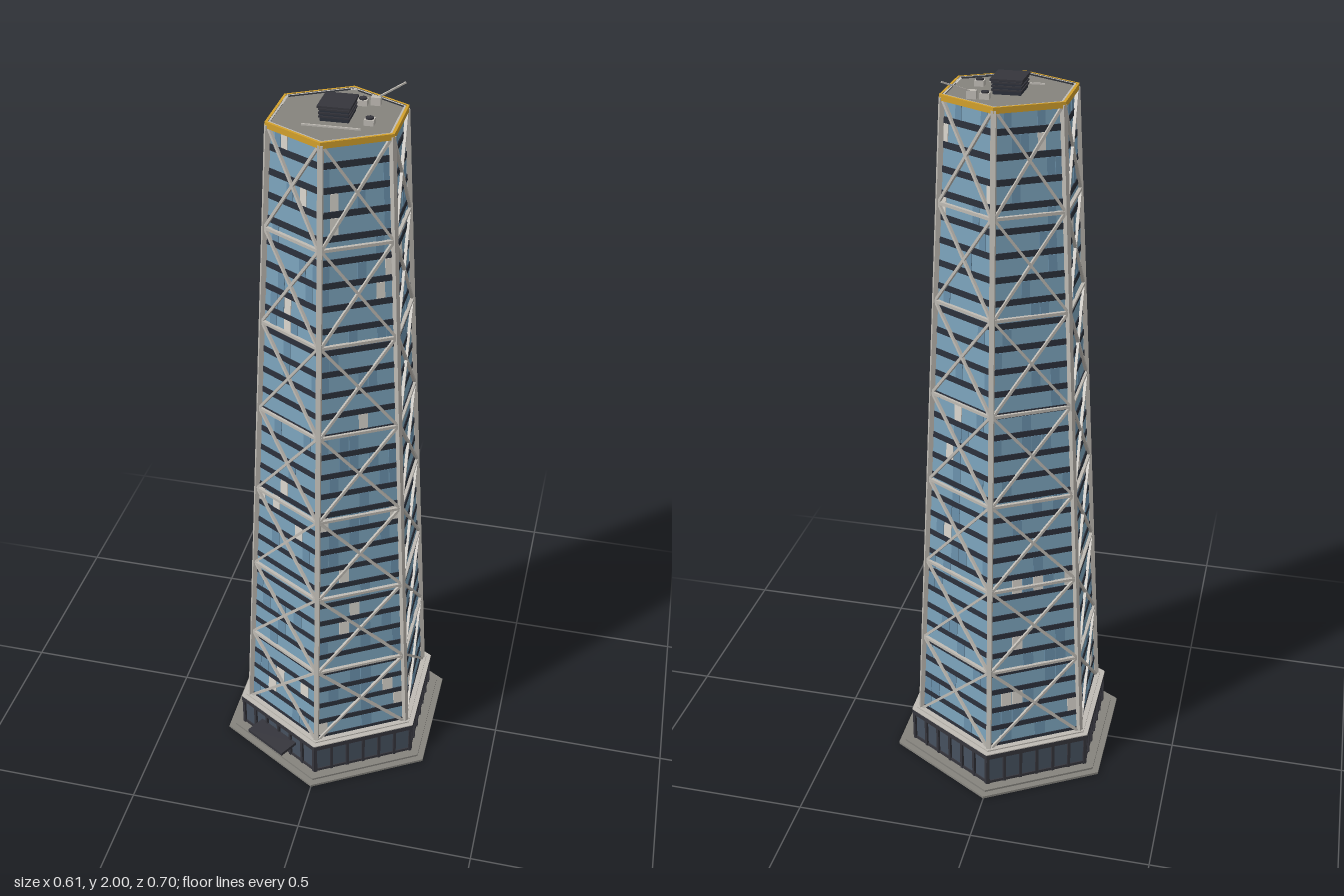
import * as THREE from 'three';
import { mergeGeometries } from 'three/addons/utils/BufferGeometryUtils.js';

const mat = (name, color) => {
  const m = new THREE.MeshStandardMaterial({ color });
  m.name = name;
  return m;
};

export function createModel() {
  const concrete = mat('concrete', 0x85837d);
  const steel = mat('pale steel', 0xbfbbb4);
  const glass = mat('blue glass', 0x7ba3bb);
  const glassDeep = mat('deep blue glass', 0x6a90ab);
  const litWindow = mat('lit window', 0xd8d4cc);
  const band = mat('dark spandrel', 0x2b303b);
  const charcoal = mat('charcoal', 0x35353c);
  const lobbyGlass = mat('lobby glass', 0x46515f);
  const gold = mat('gold', 0xd2a02c);

  const model = new THREE.Group();
  model.name = 'tower';
  const add = (name, geometry, material, parent = model) => {
    const mesh = new THREE.Mesh(geometry, material);
    mesh.name = name;
    parent.add(mesh);
    return mesh;
  };

  // Tapering tower: corner radius at a height
  const Y0 = 0.12, Y1 = 1.95, SIDES = 6, C = Math.cos(Math.PI / 6);
  const radius = (y) => THREE.MathUtils.lerp(0.272, 0.168, (y - Y0) / (Y1 - Y0));

  // Crisp six-sided frustum with corners on the z axis
  const hex = (rBottom, rTop, y0, y1, open = false) => {
    const g = new THREE.CylinderGeometry(rTop, rBottom, y1 - y0, SIDES, 1, open)
      .toNonIndexed();
    g.translate(0, (y0 + y1) / 2, 0);
    g.computeVertexNormals();
    return g;
  };
  const box = (w, h, d, x, y, z) => new THREE.BoxGeometry(w, h, d).translate(x, y, z);

  // Outward direction of a face, and a point on it (u from -1 to 1 across)
  const faceAngle = (i) => Math.PI / 6 + (i * Math.PI) / 3;
  const outward = (a) => new THREE.Vector3(Math.sin(a), 0, Math.cos(a));
  const facePoint = (i, u, y, lift) => {
    const a = faceAngle(i), r = radius(y);
    const n = outward(a), t = new THREE.Vector3(n.z, 0, -n.x);
    return n.multiplyScalar(r * C + lift).addScaledVector(t, (u * r) / 2).setY(y);
  };

  // Square-edged bar between two points, its depth turned outward
  const beam = (p, q, w, d, out) => {
    const dir = q.clone().sub(p), len = dir.length();
    dir.normalize();
    const x = dir.clone().cross(out).normalize();
    const z = x.clone().cross(dir);
    const m = new THREE.Matrix4().makeBasis(x, dir, z);
    m.setPosition(p.clone().add(q).multiplyScalar(0.5));
    return new THREE.BoxGeometry(w, len, d).applyMatrix4(m);
  };

  // Stepped plinth and podium
  add('plinthLower', hex(0.35, 0.35, 0, 0.007), concrete);
  add('plinthUpper', hex(0.33, 0.33, 0.007, 0.013), concrete);
  add('podiumWall', hex(0.297, 0.297, 0.013, 0.112), lobbyGlass);
  add('podiumFoot', hex(0.301, 0.301, 0.013, 0.022), charcoal);
  add('podiumFascia', hex(0.306, 0.306, 0.104, 0.12), charcoal);
  add('podiumTop', hex(0.306, 0.306, 0.12, 0.123), steel);
  add('towerBase', hex(0.291, 0.291, 0.123, 0.127), steel);

  const mullions = [];
  for (let i = 0; i < SIDES; i++) {
    for (let k = 0; k <= 6; k++) {
      const m = box(0.008, 0.092, 0.01, (k / 6 - 0.5) * 0.295, 0.06, 0.297 * C + 0.002);
      mullions.push(m.rotateY(faceAngle(i)));
    }
  }
  add('podiumMullions', mergeGeometries(mullions), charcoal);

  // Entrance on the front right face
  const entrance = new THREE.Group();
  entrance.name = 'entrance';
  entrance.rotation.y = faceAngle(5);
  model.add(entrance);
  add('canopy', box(0.142, 0.01, 0.06, 0, 0.072, 0.289), charcoal, entrance);
  add('canopyTrim', box(0.1, 0.005, 0.012, 0, 0.0645, 0.266), gold, entrance);
  for (const x of [-0.026, 0, 0.026]) {
    add('door', box(0.021, 0.046, 0.006, x, 0.038, 0.263), litWindow, entrance);
  }

  // Glass shaft with a dark spandrel at every floor
  add('glassShaft', hex(radius(Y0), radius(Y1), Y0, Y1), glass);
  const FLOORS = 30, step = (Y1 - Y0) / FLOORS, bandHeight = 0.016;
  const bands = [];
  for (let f = 0; f < FLOORS; f++) {
    const y = Y0 + f * step;
    bands.push(hex(radius(y) + 0.003, radius(y + bandHeight) + 0.003, y, y + bandHeight));
  }
  add('spandrels', mergeGeometries(bands), band);

  // Scattered window panes of other tints
  let seed = 17;
  const random = () => {
    seed = (seed * 16807) % 2147483647;
    return seed / 2147483647;
  };
  const deep = [], lit = [], PANES = 8;
  for (let i = 0; i < SIDES; i++) {
    for (let f = 0; f < FLOORS; f++) {
      for (let k = 0; k < PANES; k++) {
        const pick = random();
        if (pick > 0.22) continue;
        const u = ((k + 0.5) / PANES) * 2 - 1;
        const p = facePoint(i, u, Y0 + f * step + bandHeight + 0.001, 0.0005);
        const q = facePoint(i, u, Y0 + (f + 1) * step - 0.001, 0.0005);
        const w = (radius(p.y) / PANES) * 0.92;
        (pick < 0.04 ? lit : deep).push(beam(p, q, w, 0.003, outward(faceAngle(i))));
      }
    }
  }
  add('deepPanes', mergeGeometries(deep), glassDeep);
  add('litPanes', mergeGeometries(lit), litWindow);

  // Corner columns
  const columns = [];
  for (let i = 0; i < SIDES; i++) {
    const out = outward((i * Math.PI) / 3);
    const p = out.clone().multiplyScalar(0.277).setY(Y0);
    const q = out.clone().multiplyScalar(0.172).setY(Y1);
    columns.push(beam(p, q, 0.013, 0.013, out));
  }
  add('cornerColumns', mergeGeometries(columns), steel);

  // Crossed bracing, seven tiers on every face
  const TIERS = 7, tier = (Y1 - Y0) / TIERS, braces = [], girts = [];
  for (let i = 0; i < SIDES; i++) {
    const out = outward(faceAngle(i));
    for (let k = 0; k < TIERS; k++) {
      const a = Y0 + k * tier, b = a + tier;
      for (const s of [-1, 1]) {
        braces.push(beam(facePoint(i, s, a, 0.005), facePoint(i, -s, b, 0.005), 0.007, 0.008, out));
      }
      if (k > 0) {
        girts.push(beam(facePoint(i, -1, a, 0.005), facePoint(i, 1, a, 0.005), 0.008, 0.009, out));
      }
    }
  }
  add('diagonalBraces', mergeGeometries(braces), steel);
  add('tierBeams', mergeGeometries(girts), steel);

  // Gold crown, parapet and roof
  const hexRing = (outer, inner, y0, y1) => {
    const corners = (r) => Array.from({ length: SIDES }, (_, i) =>
      new THREE.Vector2(r * Math.sin((i * Math.PI) / 3), r * Math.cos((i * Math.PI) / 3)));
    const shape = new THREE.Shape(corners(outer));
    shape.holes.push(new THREE.Path(corners(inner)));
    const g = new THREE.ExtrudeGeometry(shape, { depth: y1 - y0, bevelEnabled: false });
    return g.rotateX(-Math.PI / 2).translate(0, y0, 0);
  };
  add('goldCrown', hexRing(0.179, 0.171, 1.943, 1.958), gold);
  add('parapet', hexRing(0.171, 0.165, 1.943, 1.957), steel);
  add('roof', hex(0.168, 0.168, 1.945, 1.952), concrete);

  // Rooftop plant room with louvres
  add('plantRoom', box(0.07, 0.036, 0.08, 0, 1.968, 0), band);
  for (const y of [1.963, 1.972, 1.981]) {
    add('louvre', box(0.076, 0.004, 0.086, 0, y, 0), charcoal);
  }
  add('plantRoomCap', box(0.081, 0.005, 0.092, 0, 1.988, 0), charcoal);

  // Cooling fans
  for (const [x, z] of [[0.043, -0.081], [0.084, 0.033]]) {
    add('fanHousing', box(0.024, 0.014, 0.024, x, 1.959, z), steel);
    add('fan', new THREE.CylinderGeometry(0.01, 0.01, 0.004, 8).translate(x, 1.968, z), charcoal);
  }

  // Maintenance crane and its rail
  add('craneBase', box(0.024, 0.02, 0.016, 0.074, 1.962, -0.087), steel);
  add('craneArm', beam(new THREE.Vector3(0.074, 1.968, -0.087),
    new THREE.Vector3(0.138, 1.998, -0.128), 0.004, 0.004, new THREE.Vector3(0, 1, 0)), steel);
  add('roofRail', box(0.142, 0.004, 0.004, 0, 1.954, 0.074), steel);

  return model;
}
